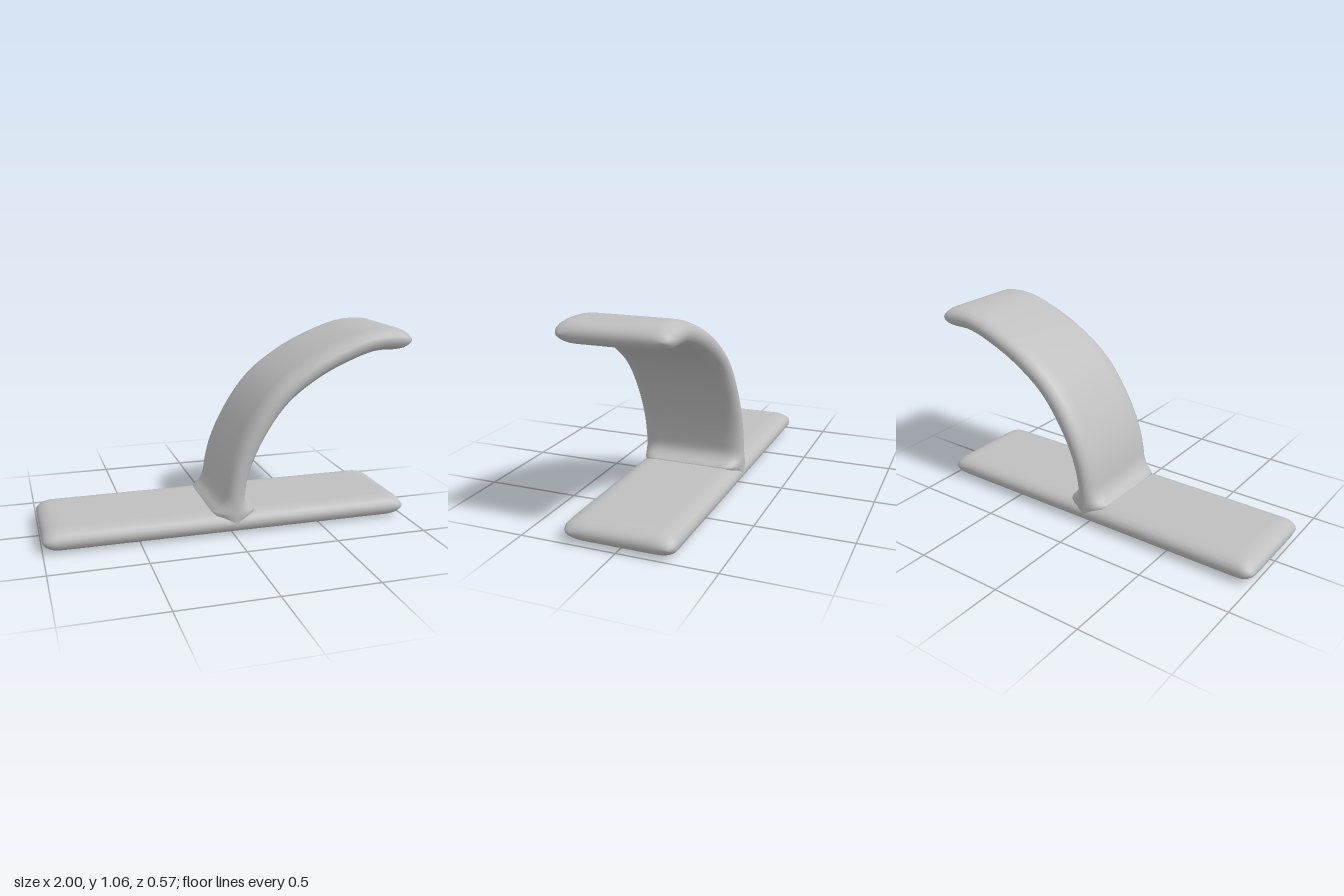
import * as THREE from 'three';
import { mergeVertices } from 'three/addons/utils/BufferGeometryUtils.js';

const HALF_WIDTH = 0.285, HALF_THICK = 0.059, EDGE = 0.1, ARC = 10;

// Quarter-round profile: 0 at the very end, 1 once d reaches r
const round = (d, r) => Math.pow(1 - Math.pow(1 - Math.min(d / r, 1), 2), 0.45);
const soft = (v) => Math.sign(v) * Math.pow(Math.abs(v), 0.9);

// Sweeps a soft-edged flat section along a path in the xy plane
function sweepSlab(points, roundStart, flare = () => 0) {
  const path = new THREE.CatmullRomCurve3(points.map(([x, y]) => new THREE.Vector3(x, y, 0)));
  path.arcLengthDivisions = 600;
  const length = path.getLength();

  // Stations bunch up towards both ends for the rounded tips and the root
  const stations = [];
  for (let i = 0; i <= 14; i++) stations.push(0.2 * (1 - Math.cos((i / 14) * Math.PI / 2)));
  for (let i = 1; i < 32; i++) stations.push(0.2 + (length - 0.4) * i / 32);
  for (let i = 14; i >= 0; i--) stations.push(length - stations[i]);

  const positions = [], index = [], ring = 2 * (ARC + 1);
  stations.forEach((s, i) => {
    const u = THREE.MathUtils.clamp(s / length, 0, 1);
    const p = path.getPointAt(u), t = path.getTangentAt(u);
    const d = Math.max(0, roundStart ? Math.min(s, length - s) : length - s);
    const h = HALF_THICK * round(d, 0.1) + flare(p.y);
    const w = HALF_WIDTH - 0.05 * (1 - round(d, 0.06));
    for (let side = 0; side < 2; side++) {
      for (let j = 0; j <= ARC; j++) {
        const a = -Math.PI / 2 + Math.PI * (side + j / ARC);
        const c = Math.abs(Math.cos(a)) < 1e-9 ? 0 : Math.cos(a);
        const n = h * soft(Math.sin(a));
        const z = (side ? -1 : 1) * (w - EDGE) + EDGE * soft(c);
        positions.push(p.x - t.y * n, p.y + t.x * n, z);
      }
    }
    if (i === 0) return;
    for (let j = 0; j < ring; j++) {
      const k = (j + 1) % ring, a = (i - 1) * ring, b = i * ring;
      index.push(a + j, b + j, a + k, b + j, b + k, a + k);
    }
  });
  let geometry = new THREE.BufferGeometry();
  geometry.setAttribute('position', new THREE.Float32BufferAttribute(positions, 3));
  geometry.setIndex(index);
  geometry = mergeVertices(geometry, 1e-5);
  geometry.computeVertexNormals();
  return geometry;
}

export function createModel() {
  const group = new THREE.Group();
  group.name = 'curvedStand';
  const grey = new THREE.MeshStandardMaterial({ color: 0xbfbfbf });
  grey.name = 'plain grey';

  const add = (name, geometry) => {
    const mesh = new THREE.Mesh(geometry, grey);
    mesh.name = name;
    group.add(mesh);
  };

  // Flat foot
  add('base', sweepSlab([[-1, 0.06], [0, 0.06], [1, 0.06]], true));

  // Curved arm, widened at its root to blend into the foot
  const fillet = (y) => {
    const k = Math.min(Math.abs(y - 0.115) / 0.1, 1);
    return 0.1 * (1 - Math.sqrt(1 - (1 - k) * (1 - k)));
  };
  add('arm', sweepSlab([
    [0.012, 0.05], [0.015, 0.2], [0.05, 0.37], [0.145, 0.57], [0.268, 0.733],
    [0.43, 0.855], [0.6, 0.94], [0.79, 1.0], [1, 1.0],
  ], false, fillet));

  return group;
}
